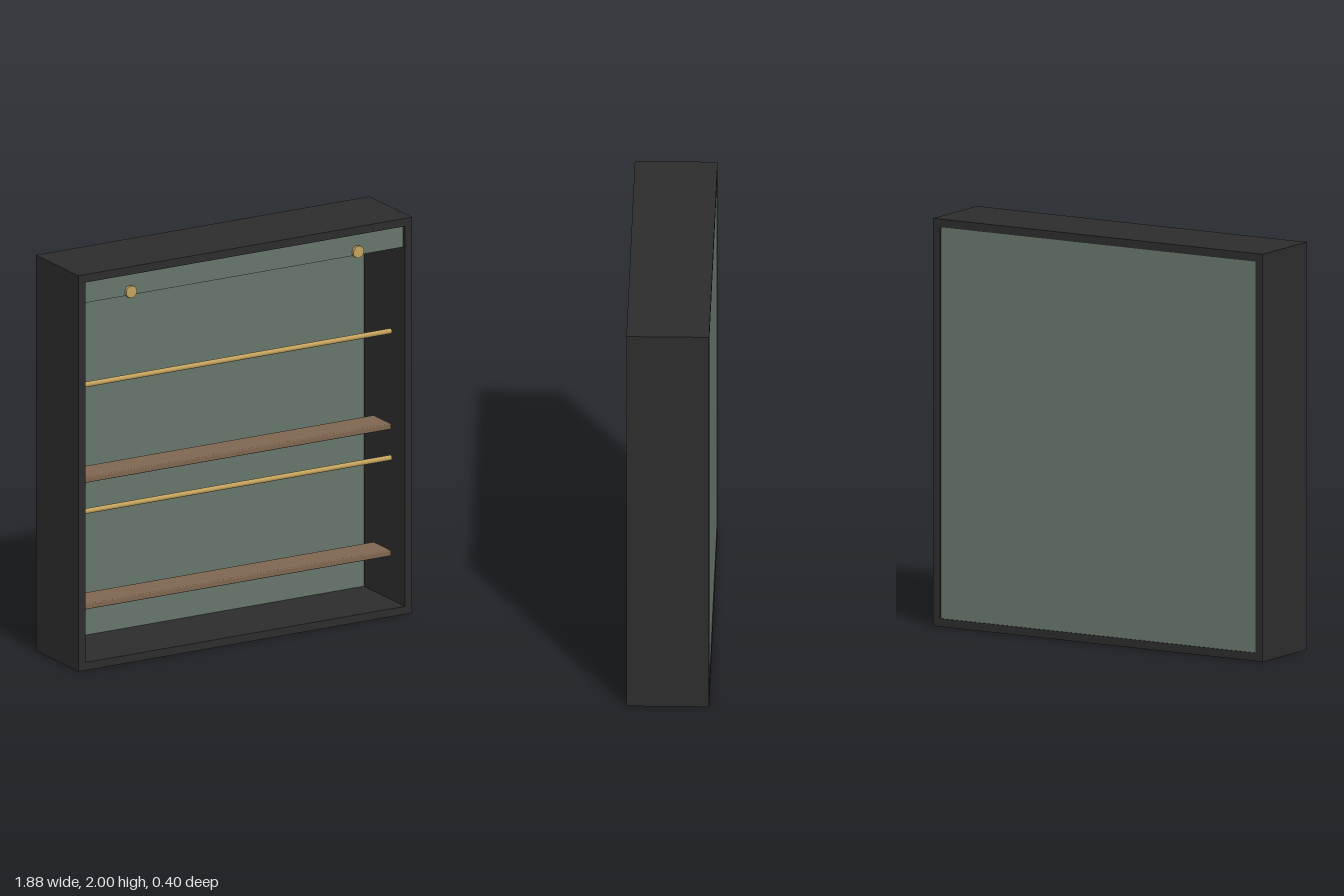
import * as THREE from 'three';
import { RoundedBoxGeometry } from 'three/addons/geometries/RoundedBoxGeometry.js';

const paint = (name, color) => {
  const m = new THREE.MeshStandardMaterial({ color });
  m.name = name;
  return m;
};

export function createModel() {
  const black = paint('charcoal', 0x2c2c2d);
  const green = paint('sage green', 0x66756a);
  const wood = paint('walnut', 0x7e6550);
  const gold = paint('brass', 0xc2a15c);

  const model = new THREE.Group();
  model.name = 'wallDisplayCabinet';
  const add = (name, geometry, material, x, y, z) => {
    const mesh = new THREE.Mesh(geometry, material);
    mesh.name = name;
    mesh.position.set(x, y, z);
    model.add(mesh);
    return mesh;
  };

  // Outer case: a rectangular tube open at front and back
  const W = 0.94, H = 2, D = 0.4, T = 0.04;
  const rect = (path, x, y0, y1) => path.moveTo(-x, y0).lineTo(x, y0).lineTo(x, y1).lineTo(-x, y1).closePath();
  const outline = rect(new THREE.Shape(), W, 0, H);
  outline.holes.push(rect(new THREE.Path(), W - T, T, H - T));
  add('frame', new THREE.ExtrudeGeometry(outline, { depth: D, bevelEnabled: false }), black, 0, 0, -D / 2);

  // Back panel, slightly recessed, and the header strip at the top front
  const inner = 2 * (W - T);
  add('backPanel', new THREE.BoxGeometry(inner, H - 2 * T, 0.008), green, 0, H / 2, -0.191);
  add('headerStrip', new THREE.BoxGeometry(inner, 0.11, 0.02), green, 0, 1.905, 0.17);

  // Two tiers, each with a shelf and a guard rail above it
  for (const y of [0.287, 0.927]) {
    add('shelf', new RoundedBoxGeometry(1.76, 0.03, 0.165, 2, 0.006), wood, 0, y, 0.0225);
    add('guardRail', new THREE.CylinderGeometry(0.013, 0.013, 1.77, 16), gold, 0, y + 0.478, 0.09)
      .rotation.z = Math.PI / 2;
  }

  // Brass knobs on the header strip, each with a small mount behind
  for (const x of [-0.64, 0.64]) {
    add('knob', new THREE.CylinderGeometry(0.03, 0.03, 0.014, 20), gold, x, 1.871, 0.192)
      .rotation.x = Math.PI / 2;
    add('knobMount', new THREE.CylinderGeometry(0.024, 0.024, 0.012, 16), gold, x, 1.861, 0.182)
      .rotation.x = Math.PI / 2;
  }
  return model;
}
